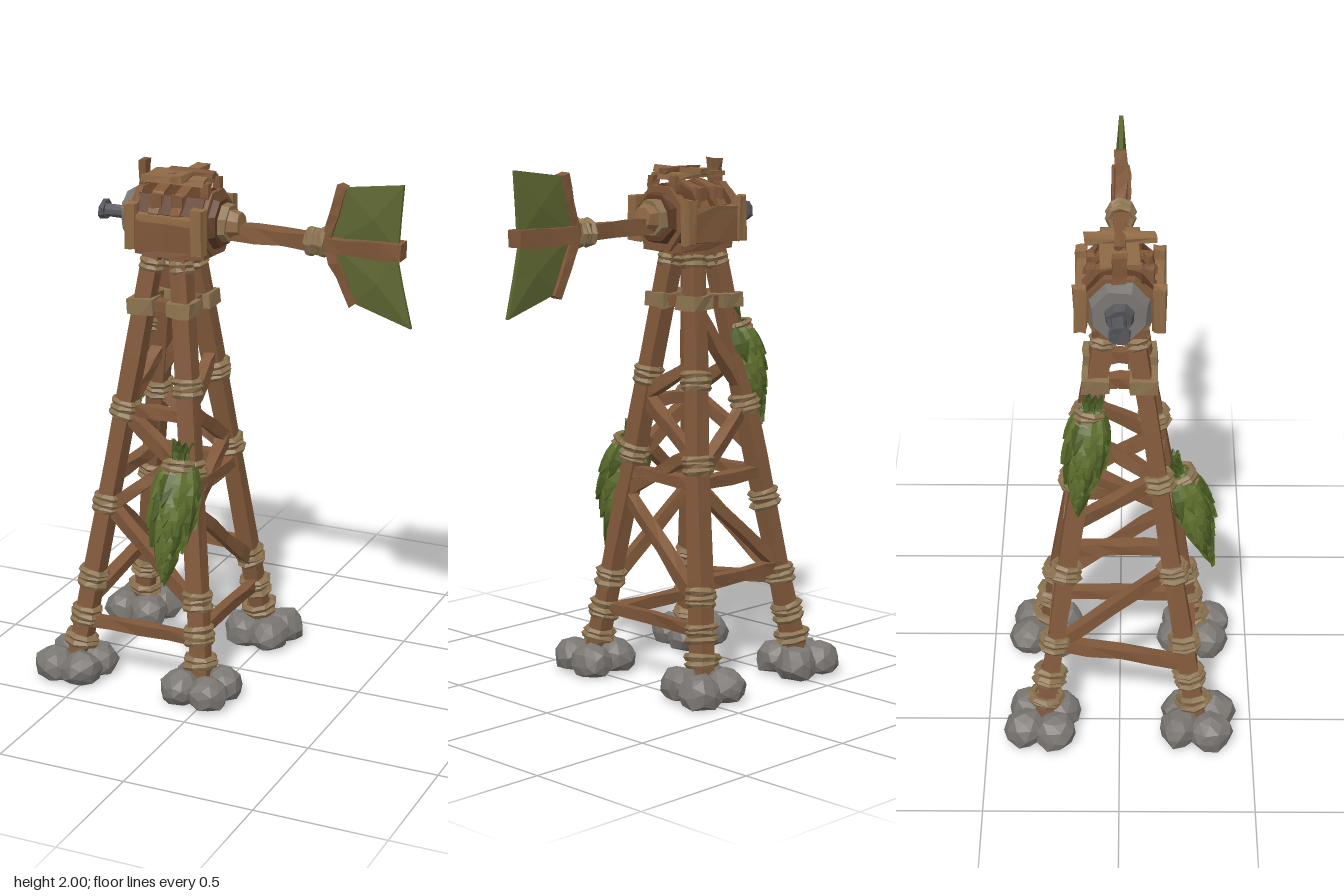
import * as THREE from 'three';

const mat = (color, side = THREE.FrontSide) => new THREE.MeshStandardMaterial({ color, side, flatShading: true });
const WOOD = mat(0x80583a), DARK = mat(0x5e3d26), PALE = mat(0x8f6a45), ROPE = mat(0x8c7350), ROCK = mat(0x7a7672),
  METAL = mat(0x55555a), LEAF = mat(0x5d6e2c, THREE.DoubleSide), LEAF2 = mat(0x485a22, THREE.DoubleSide), SAIL = mat(0x5d6631);
const V = (x, y, z) => new THREE.Vector3(x, y, z);
const UP = V(0, 1, 0);

// Rough hand-cut look: shift each vertex by a hash of its position, so seams stay closed
function rough(geo, amount, seed = 0) {
  const p = geo.attributes.position;
  const hash = (x, y, z, k) => {
    const s = Math.sin(Math.round(x * 1e3) * 12.99 + Math.round(y * 1e3) * 78.23 + Math.round(z * 1e3) * 37.72 + k * 4.1 + seed * 9.7) * 43758.5;
    return (s - Math.floor(s) - 0.5) * 2 * amount;
  };
  for (let i = 0; i < p.count; i++) {
    const x = p.getX(i), y = p.getY(i), z = p.getZ(i);
    p.setXYZ(i, x + hash(x, y, z, 1), y + hash(x, y, z, 2), z + hash(x, y, z, 3));
  }
  geo.computeVertexNormals();
  return geo;
}

let seed = 0;
function add(parent, name, geo, material, x = 0, y = 0, z = 0) {
  const m = new THREE.Mesh(geo, material);
  m.name = name;
  m.position.set(x, y, z);
  parent.add(m);
  return m;
}

// Squared timber between two points
function beam(parent, name, a, b, w = 0.05, d = w, material = WOOD) {
  const geo = rough(new THREE.BoxGeometry(w, a.distanceTo(b), d, 1, 4, 1), 0.005, seed++);
  const m = add(parent, name, geo, material);
  m.position.lerpVectors(a, b, 0.5);
  m.quaternion.setFromUnitVectors(UP, b.clone().sub(a).normalize());
  return m;
}

const box = (parent, name, w, h, d, x, y, z, material = WOOD) =>
  add(parent, name, rough(new THREE.BoxGeometry(w, h, d, 2, 1, 2), 0.005, seed++), material, x, y, z);

// Disc or drum lying along x
function drum(parent, name, r0, r1, x0, x1, sides, material, y = 1.79) {
  const geo = new THREE.CylinderGeometry(r1, r0, x1 - x0, sides);
  geo.rotateY(Math.PI / sides).rotateZ(-Math.PI / 2);
  return add(parent, name, rough(geo, 0.004, seed++), material, (x0 + x1) / 2, y, 0);
}

// Several turns of rope around an axis
function rope(parent, at, dir, r = 0.05, turns = 3) {
  const g = new THREE.Group();
  g.name = 'ropeBinding';
  for (let i = 0; i < turns; i++) {
    const t = new THREE.TorusGeometry(r * (1 + 0.06 * Math.sin(i * 2 + seed)), 0.014, 5, 8).rotateX(Math.PI / 2);
    const m = add(g, 'ropeTurn', rough(t, 0.003, seed++), ROPE, 0, (i - (turns - 1) / 2) * 0.024, 0);
    m.rotation.z = 0.08 * Math.sin(seed * 3);
  }
  g.position.copy(at);
  g.quaternion.setFromUnitVectors(UP, dir);
  parent.add(g);
}

// Point on a leg: sx = 1 left, -1 right of the model; sz = 1 front
const leg = (sx, sz, y) => {
  const t = (y - 0.1) / 1.56;
  return V(sx > 0 ? -0.03 - 0.18 * t : -0.55 + 0.23 * t, y, sz * (0.285 - 0.23 * t));
};

// Pointed leaf hanging from its origin, folded on the midrib and curling inward
function leafGeo(len, width) {
  const g = new THREE.PlaneGeometry(2, 1, 2, 4), p = g.attributes.position;
  const profile = [0.35, 0.9, 1, 0.62, 0.02];
  for (let i = 0; i < p.count; i++) {
    const t = 0.5 - p.getY(i), s = p.getX(i);
    p.setXYZ(i, s * profile[Math.round(t * 4)] * width / 2, -t * len, (1 - Math.abs(s)) * 0.014 + 0.08 * len * Math.sin(t * Math.PI));
  }
  g.computeVertexNormals();
  return g;
}

// Sheaf of leaves, tied at the top and hanging off the outer side of a leg
function leafBundle(parent, at, yaw, tilt, scale) {
  const g = new THREE.Group();
  g.name = 'leafBundle';
  const layers = [ // drop, count, spread, radius, length, flare
    [-0.02, 7, 1.7, 0.045, 0.19, 0.3], [0.06, 7, 1.6, 0.06, 0.2, 0.16],
    [0.13, 6, 1.4, 0.06, 0.2, 0.02], [0.2, 5, 1.3, 0.045, 0.2, -0.08], [0.26, 3, 0.8, 0.025, 0.21, -0.08]];
  layers.forEach(([drop, n, spread, r, len, flare], k) => {
    for (let i = 0; i < n; i++) {
      const a = (i / (n - 1) * 2 - 1) * spread + (k % 2) * 0.12;
      const pivot = new THREE.Group();
      pivot.rotation.y = a;
      const m = add(pivot, 'leaf', leafGeo(len * (1 + 0.1 * Math.sin(i * 5 + k)), 0.075), (i + k) % 3 ? LEAF : LEAF2, 0, -drop, r);
      m.rotation.x = -flare;
      g.add(pivot);
    }
  });
  // Short tips standing above the tie
  for (let i = 0; i < 5; i++) {
    const pivot = new THREE.Group();
    pivot.rotation.y = (i - 2) * 0.6;
    add(pivot, 'leafTip', leafGeo(0.1, 0.05), LEAF2, 0, 0, 0.04).rotation.x = Math.PI + 0.15;
    g.add(pivot);
  }
  rope(g, V(0, -0.015, 0.02), UP, 0.06, 3);
  g.position.copy(at);
  g.rotation.set(-tilt, yaw, 0, 'YXZ');
  g.scale.setScalar(scale);
  parent.add(g);
}

// Faceted sail panel: a rim with a raised centre on both sides
function sail(parent, name, rim) {
  const n = rim.length, c = rim.reduce((s, q) => [s[0] + q[0] / n, s[1] + q[1] / n], [0, 0]);
  const pos = [];
  rim.forEach((q, i) => {
    const r = rim[(i + 1) % n];
    pos.push(...q, 0.008, ...r, 0.008, ...c, 0.022, ...r, -0.008, ...q, -0.008, ...c, -0.022);
    pos.push(...q, -0.008, ...r, -0.008, ...r, 0.008, ...q, -0.008, ...r, 0.008, ...q, 0.008);
  });
  const geo = new THREE.BufferGeometry();
  geo.setAttribute('position', new THREE.Float32BufferAttribute(pos, 3));
  geo.computeVertexNormals();
  add(parent, name, geo, SAIL);
}

export function createModel() {
  const model = new THREE.Group();
  model.name = 'windPumpTower';
  const tower = new THREE.Group(), head = new THREE.Group(), tail = new THREE.Group();
  tower.name = 'tower'; head.name = 'head'; tail.name = 'tail';
  model.add(tower, head, tail);

  // Legs with stone footings and rope bindings
  for (const sx of [-1, 1]) for (const sz of [-1, 1]) {
    const foot = leg(sx, sz, 0.04), top = leg(sx, sz, 1.68), dir = top.clone().sub(foot).normalize();
    beam(tower, 'leg', foot, top, 0.066, 0.066);
    for (let i = 0; i < 4; i++) {
      const geo = rough(new THREE.IcosahedronGeometry(0.08, 1), 0.007, seed++), p = geo.attributes.position;
      for (let k = 0; k < p.count; k++) p.setY(k, Math.max(p.getY(k), -0.05));
      const a = Math.PI / 4 + i * Math.PI / 2 + 0.12;
      add(tower, 'footStone', geo, ROCK, foot.x + 0.082 * Math.cos(a), 0.055 - 0.005 * (i % 2), foot.z + 0.082 * Math.sin(a))
        .scale.y = 0.94 + 0.04 * (i % 2);
    }
    rope(tower, leg(sx, sz, 0.15), dir, 0.056, 2);
    rope(tower, leg(sx, sz, 0.25), dir, 0.05, 3);
    for (const y of sx > 0 ? [0.38, 0.87, 1.18] : [0.4, 0.7, 1.07]) rope(tower, leg(sx, sz, y), dir, 0.048, 3);
    rope(tower, leg(sx, sz, 1.62), dir, 0.037, 2);
    const c = leg(sx, sz, 1.47);
    box(tower, 'topClamp', 0.1, 0.055, 0.1, c.x, c.y, c.z, ROPE);
  }

  // Braces: [side, height at first leg, height at second leg]
  const brace = (s, alongX, y0, y1, w) => beam(tower, 'brace',
    alongX ? leg(-1, s, y0) : leg(s, 1, y0), alongX ? leg(1, s, y1) : leg(s, -1, y1), w, w);
  for (const [s, y0, y1] of [[1, 0.23, 0.23], [1, 0.7, 0.35], [1, 0.67, 0.94], [1, 1.07, 1.07], [1, 1.06, 0.84],
    [-1, 0.43, 0.43], [-1, 0.43, 0.78], [-1, 0.8, 0.8], [-1, 1.07, 0.82], [-1, 1.12, 1.45]]) brace(s, true, y0, y1, 0.045);
  for (const [s, y0, y1] of [[1, 0.26, 0.26], [1, 0.72, 0.35], [1, 0.8, 0.8], [1, 0.72, 0.92], [1, 1.1, 0.88], [1, 1.1, 1.25],
    [-1, 0.31, 0.39], [-1, 0.72, 0.38], [-1, 0.8, 0.8], [-1, 1.08, 0.9], [-1, 1.08, 1.25]]) brace(s, false, y0, y1, 0.045);
  for (const s of [-1, 1]) {
    brace(s, true, 1.47, 1.47, 0.045);
    brace(s, false, 1.47, 1.47, 0.045);
  }

  // Leaf sheaves
  leafBundle(tower, V(-0.145, 0.9, 0.205), -0.08, 0.32, 0.93);
  leafBundle(tower, V(-0.39, 1.36, -0.1), -2.08, 0.28, 0.82);

  // Gear housing
  drum(head, 'housingDrum', 0.125, 0.125, -0.37, -0.1, 10, DARK);
  for (const x of [-0.29, -0.2]) drum(head, 'housingHoop', 0.137, 0.137, x - 0.022, x + 0.022, 10, WOOD);
  box(head, 'housingFloor', 0.28, 0.035, 0.2, -0.24, 1.68, 0);
  for (const s of [-1, 1]) {
    box(head, 'sidePlank', 0.25, 0.11, 0.03, -0.235, 1.755, s * 0.135);
    box(head, 'sideRail', 0.27, 0.03, 0.035, -0.235, 1.815, s * 0.135, PALE);
    for (const x of [-0.37, -0.1]) box(head, 'cornerPost', 0.045, 0.17, 0.045, x, 1.78, s * 0.138, PALE);
    for (const x of [-0.285, -0.2]) box(head, 'slatPeg', 0.045, 0.1, 0.03, x, 1.85, s * 0.1);
    beam(head, 'roofPost', V(-0.11, 1.82, s * 0.06), V(-0.11, 1.945, s * 0.055), 0.03);
  }
  for (const x of [-0.375, -0.1]) drum(head, 'endRing', 0.13, 0.13, x - 0.017, x + 0.017, 8, WOOD);

  // Roof boards and front post
  box(head, 'roofBoard', 0.25, 0.022, 0.14, -0.24, 1.945, 0, PALE);
  box(head, 'roofCrossBoard', 0.045, 0.022, 0.25, -0.2, 1.963, 0, PALE);
  box(head, 'roofRidge', 0.18, 0.02, 0.04, -0.19, 1.965, 0);
  beam(head, 'ridgePost', V(-0.383, 1.85, 0), V(-0.383, 2, 0), 0.028, 0.05);

  // Stone plate and rotor shaft
  drum(head, 'shaftPlate', 0.1, 0.12, -0.435, -0.385, 8, ROCK);
  drum(head, 'shaftCollar', 0.045, 0.055, -0.465, -0.43, 8, METAL);
  drum(head, 'rotorShaft', 0.026, 0.026, -0.55, -0.43, 8, METAL);
  drum(head, 'shaftCap', 0.038, 0.038, -0.56, -0.54, 8, METAL);

  // Tail hub, boom and vane
  drum(tail, 'tailHubPlate', 0.105, 0.095, -0.09, -0.06, 8, DARK);
  drum(tail, 'tailHub', 0.075, 0.07, -0.065, -0.03, 8, ROPE);
  drum(tail, 'tailHubTip', 0.06, 0.045, -0.035, 0.01, 8, PALE);
  beam(tail, 'boom', V(-0.03, 1.765, 0), V(0.38, 1.76, 0), 0.056, 0.055);
  beam(tail, 'vaneSpar', V(0.35, 1.757, 0), V(0.635, 1.757, 0), 0.062, 0.07);
  rope(tail, V(0.31, 1.76, 0), V(1, 0, 0), 0.042, 3);
  sail(tail, 'upperVane', [[0.365, 1.76], [0.62, 1.76], [0.625, 1.86], [0.635, 2], [0.41, 1.97]]);
  sail(tail, 'lowerVane', [[0.365, 1.76], [0.45, 1.55], [0.675, 1.478], [0.64, 1.62], [0.61, 1.76]]);
  beam(tail, 'upperVaneEdge', V(0.35, 1.77, 0), V(0.405, 1.975, 0), 0.032, 0.045);
  beam(tail, 'lowerVaneEdge', V(0.355, 1.745, 0), V(0.452, 1.54, 0), 0.032, 0.045);
  return model;
}
